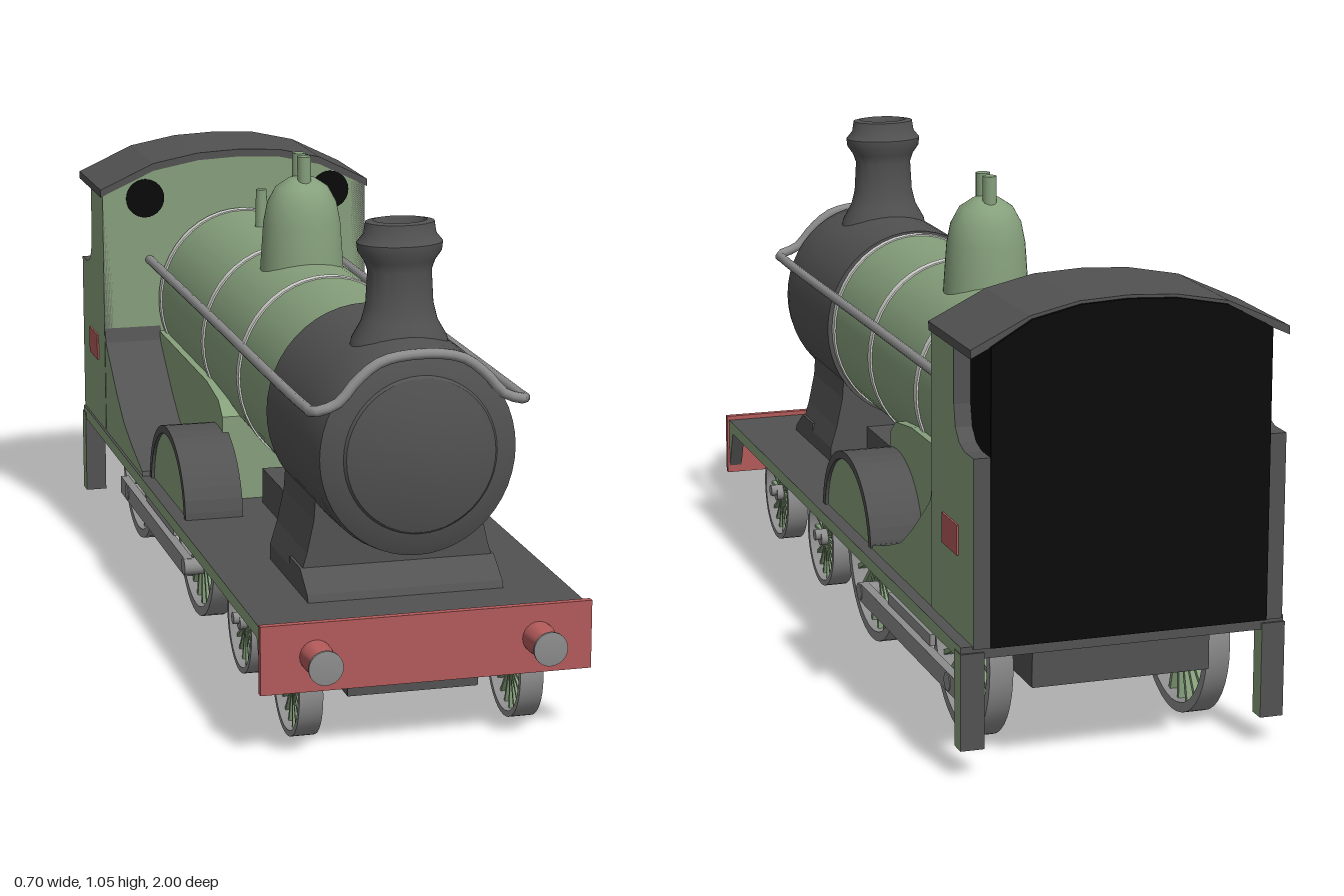
import * as THREE from 'three';
import { toCreasedNormals } from 'three/addons/utils/BufferGeometryUtils.js';

const mat = (name, color) => {
  const m = new THREE.MeshStandardMaterial({ color });
  m.name = name;
  return m;
};

export function createModel() {
  const model = new THREE.Group();
  model.name = 'steamLocomotive';
  const green = mat('green', 0x86a07c), dark = mat('darkGrey', 0x525252), red = mat('red', 0xb35a5a);
  const grey = mat('grey', 0x8c8c8c), black = mat('black', 0x0a0a0a), white = mat('white', 0xd6d6d2);

  const add = (name, geo, material, parent = model) => {
    const mesh = new THREE.Mesh(geo, material);
    mesh.name = name;
    parent.add(mesh);
    return mesh;
  };
  // box given by its limits
  const box = (name, x0, x1, y0, y1, z0, z1, material, parent) => {
    const g = new THREE.BoxGeometry(x1 - x0, y1 - y0, z1 - z0);
    g.translate((x0 + x1) / 2, (y0 + y1) / 2, (z0 + z1) / 2);
    return add(name, g, material, parent);
  };
  const shapeOf = pts => new THREE.Shape(pts.map(p => new THREE.Vector2(...p)));
  // side profile of (z, y) points, extruded across x
  const acrossX = (name, pts, x0, x1, material) => {
    const g = new THREE.ExtrudeGeometry(shapeOf(pts), { depth: x1 - x0, bevelEnabled: false });
    g.rotateY(-Math.PI / 2).translate(x1, 0, 0);
    return add(name, g, material);
  };
  // front profile of (x, y) points, extruded along z
  const alongZ = (name, pts, z0, z1, material) => {
    const g = new THREE.ExtrudeGeometry(shapeOf(pts), { depth: z1 - z0, bevelEnabled: false });
    g.translate(0, 0, z0);
    return add(name, g, material);
  };
  const turned = (pts, segments = 40) =>
    toCreasedNormals(new THREE.LatheGeometry(pts.map(p => new THREE.Vector2(...p)), segments), 0.6);
  const cylX = (name, r, x0, x1, y, z, material, parent) => {
    const g = new THREE.CylinderGeometry(r, r, x1 - x0, 20);
    g.rotateZ(Math.PI / 2).translate((x0 + x1) / 2, y, z);
    return add(name, g, material, parent);
  };

  // boiler and smokebox
  const boilerY = 0.6;
  const barrel = (name, pts, sx, material) => {
    const g = turned(pts, 48);
    g.rotateX(Math.PI / 2).scale(sx, 1, 1).translate(0, boilerY, 0);
    return add(name, g, material);
  };
  barrel('boiler', [[0, -0.73], [0.217, -0.73], [0.217, 0.44], [0, 0.44]], 0.93, green);
  barrel('smokebox', [[0, 0.43], [0.225, 0.43], [0.224, 0.7], [0.221, 0.8], [0.215, 0.835],
    [0.19, 0.846], [0.165, 0.852]], 0.96, dark);
  barrel('smokeboxDoor', [[0.165, 0.852], [0.16, 0.858], [0.12, 0.869], [0.06, 0.878], [0, 0.882]], 0.98, dark);
  for (const z of [0.423, 0.12, -0.235, -0.7])
    barrel('boilerBand', [[0.21, z - 0.011], [0.22, z - 0.011], [0.22, z + 0.011], [0.21, z + 0.011]], 0.935, white);

  // firebox
  acrossX('firebox', [[-0.04, 0.26], [-0.04, 0.47], [-0.08, 0.5], [-0.2, 0.517], [-0.72, 0.52], [-0.72, 0.26]],
    -0.203, 0.203, green);

  // chimney, dome, safety valves and whistle
  const chimney = add('chimney', turned([[0.108, 0.775], [0.1, 0.81], [0.08, 0.845], [0.071, 0.88], [0.067, 0.95],
    [0.074, 0.97], [0.088, 0.99], [0.09, 1.008], [0.076, 1.025], [0.072, 1.05], [0.056, 1.053], [0.05, 1.035], [0, 1.035]]), dark);
  chimney.scale.z = 0.75;
  chimney.position.z = 0.69;
  const dome = add('dome', turned([[0.097, 0.77], [0.093, 0.83], [0.088, 0.9], [0.079, 0.945], [0.06, 0.98],
    [0.03, 1.0], [0, 1.005]]), green);
  dome.scale.z = 0.92;
  dome.position.z = -0.105;
  for (const z of [-0.083, -0.13])
    add('safetyValve', new THREE.CylinderGeometry(0.016, 0.016, 0.07, 12), green).position.set(0, 1.018, z);
  add('whistle', new THREE.CylinderGeometry(0.013, 0.016, 0.12, 12), green).position.set(0, 0.845, -0.49);

  // saddle and frames
  alongZ('saddle', [[-0.21, 0.27], [0.21, 0.27], [0.21, 0.31], [0.195, 0.36], [0.18, 0.43], [0.175, 0.5],
    [-0.175, 0.5], [-0.18, 0.43], [-0.195, 0.36], [-0.21, 0.31]], 0.435, 0.69, dark);
  acrossX('saddleToe', [[0.76, 0.27], [0.75, 0.29], [0.69, 0.33], [0.6, 0.33], [0.6, 0.27]], -0.21, 0.21, dark);
  box('upperFrame', -0.12, 0.12, 0.26, 0.355, 0.0, 0.6, dark);
  box('lowerFrame', -0.19, 0.19, 0.17, 0.26, -0.975, 0.18, dark);

  // running board with green edges, buffer beam
  box('runningBoard', -0.345, 0.345, 0.248, 0.275, -0.99, 0.905, [green, green, dark, dark, dark, dark]);
  box('bufferBeam', -0.35, 0.35, 0.14, 0.285, 0.9, 0.915, red);

  // cab: front sheet, roof, dark interior
  const arch = [[0.32, 0.87], [0.2, 0.93], [0.1, 0.953], [0, 0.958], [-0.1, 0.953], [-0.21, 0.932], [-0.34, 0.872]];
  alongZ('cabFront', [[-0.34, 0.275], [0.32, 0.275], ...arch], -0.735, -0.72, green);
  alongZ('cabRoof', [...arch.map(([x, y]) => [x * 1.015, y + 0.006]),
    ...arch.slice().reverse().map(([x, y]) => [x * 1.015, y - 0.012])], -0.99, -0.718, dark);
  alongZ('cabOpening', [[-0.305, 0.27], [0.285, 0.27], [0.285, 0.88], ...arch.slice(1, 6), [-0.305, 0.88]],
    -0.999, -0.991, black);
  for (const x of [-0.235, 0.23]) {
    const g = new THREE.CylinderGeometry(0.047, 0.047, 0.006, 28);
    g.rotateX(Math.PI / 2).translate(x, 0.853, -0.719);
    add('cabWindow', g, black);
  }

  // wheel with spokes, outer face at |x| = 0.26
  const wheel = (name, side, z, r, spokes) => {
    const w = new THREE.Group();
    w.name = name;
    w.position.set(side * 0.235, r, z);
    model.add(w);
    const ri = r * 0.89;
    const rim = turned([[ri, -0.025], [r, -0.025], [r, 0.025], [ri, 0.025], [ri, -0.025]], 40);
    rim.rotateZ(Math.PI / 2);
    add('rim', rim, grey, w);
    for (let i = 0; i < spokes; i++) {
      const g = new THREE.BoxGeometry(0.022, r * 0.92, r * 0.055);
      g.translate(0, r * 0.46, 0).rotateX((i / spokes) * Math.PI * 2);
      add('spoke', g, green, w);
    }
    cylX('hub', r * 0.16, -0.027, 0.027, 0, 0, grey, w);
  };

  for (const s of [1, -1]) {
    const span = (a, b) => (s > 0 ? [a, b] : [-b, -a]);
    const cabX = s > 0 ? 0.32 : 0.34;

    // cab side with cut-out, opening and number plate
    const sheet = [[-0.72, 0.27], [-0.72, 0.872], [-0.87, 0.872], [-0.87, 0.74], [-0.88, 0.695], [-0.905, 0.67],
      [-0.94, 0.66], [-0.996, 0.66], [-0.996, 0.27]];
    acrossX('cabSide', sheet, ...span(cabX - 0.035, cabX), [green, dark]);
    box('cabSideOpening', ...span(cabX - 0.045, cabX - 0.036), 0.63, 0.88, -0.991, -0.86, black);
    box('numberPlate', ...span(cabX - 0.002, cabX + 0.004), 0.437, 0.5, -0.9, -0.8, red);

    // rear wheel cover sweeping up to the cab
    acrossX('rearSplasher', [[-0.28, 0.27], [-0.29, 0.285], [-0.4, 0.315], [-0.5, 0.35], [-0.58, 0.4], [-0.68, 0.475],
      [-0.71, 0.5], [-0.722, 0.54], [-0.722, 0.27]], ...span(0.2, cabX - 0.001), [green, dark]);

    // front driving wheel cover
    const arc = [];
    for (let i = 0; i <= 20; i++) {
      const a = (i / 20) * Math.PI;
      arc.push([-0.09 + 0.195 * Math.cos(a), 0.262 + 0.178 * Math.sin(a)]);
    }
    acrossX('frontSplasher', arc, ...span(0.19, 0.315), [green, dark]);
    const rib = arc.concat(arc.map(([z, y]) => [-0.09 + (z + 0.09) * 0.9, 0.262 + (y - 0.262) * 0.9]).reverse());
    acrossX('splasherEdge', rib, ...span(0.31, 0.322), dark);

    // rear step and front valance
    box('rearStep', ...span(0.297, 0.347), 0.06, 0.262, -0.995, -0.955, [green, green, dark, dark, dark, dark]);
    acrossX('frontValance', [[0.903, 0.15], [0.903, 0.27], [0.83, 0.27], [0.865, 0.245]], ...span(0.315, 0.345), [green, dark]);

    // wheels, rods and pins
    for (const z of [0.765, 0.355]) {
      wheel('bogieWheel', s, z, 0.114, 20);
      cylX('bogieAxle', 0.013, ...span(0.1, 0.275), 0.122, z, grey);
    }
    for (const z of [-0.075, -0.725]) {
      wheel('drivingWheel', s, z, 0.193, 22);
      cylX('drivingAxle', 0.02, ...span(0.1, 0.265), 0.193, z, grey);
      cylX('crankPin', 0.02, ...span(0.24, 0.29), 0.112, z, grey);
    }
    box('couplingRod', ...span(0.268, 0.288), 0.09, 0.132, -0.805, -0.07, grey);
    box('connectingRod', ...span(0.262, 0.274), 0.135, 0.16, -0.56, -0.25, grey);

    // buffer
    const buffer = new THREE.Group();
    buffer.name = 'buffer';
    buffer.position.set(s * 0.235, 0.215, 0);
    model.add(buffer);
    const part = (name, pts, m) => add(name, turned(pts, 24).rotateX(Math.PI / 2), m, buffer);
    part('bufferHousing', [[0.034, 0.91], [0.034, 0.93], [0.028, 0.96], [0.028, 0.975], [0, 0.975]], red);
    part('bufferHead', [[0.014, 0.97], [0.014, 0.988], [0.036, 0.99], [0.036, 0.996], [0, 1.0]], grey);
  }

  // bogie frame
  box('bogieCentre', -0.2, 0.2, 0.082, 0.25, 0.45, 0.64, dark);
  box('bogieFrame', -0.14, 0.14, 0.085, 0.17, 0.3, 0.81, dark);

  // handrail looping over the smokebox door
  const half = [[0.225, 0.7, -0.72], [0.225, 0.7, 0.0], [0.225, 0.7, 0.8], [0.222, 0.702, 0.845], [0.175, 0.718, 0.853],
    [0.135, 0.762, 0.853], [0.085, 0.798, 0.853]];
  const rail = [...half, [0, 0.81, 0.853], ...half.slice().reverse().map(([x, y, z]) => [-x, y, z])];
  const curve = new THREE.CatmullRomCurve3(rail.map(p => new THREE.Vector3(...p)), false, 'centripetal');
  add('handrail', new THREE.TubeGeometry(curve, 160, 0.011, 10), grey);

  return model;
}
